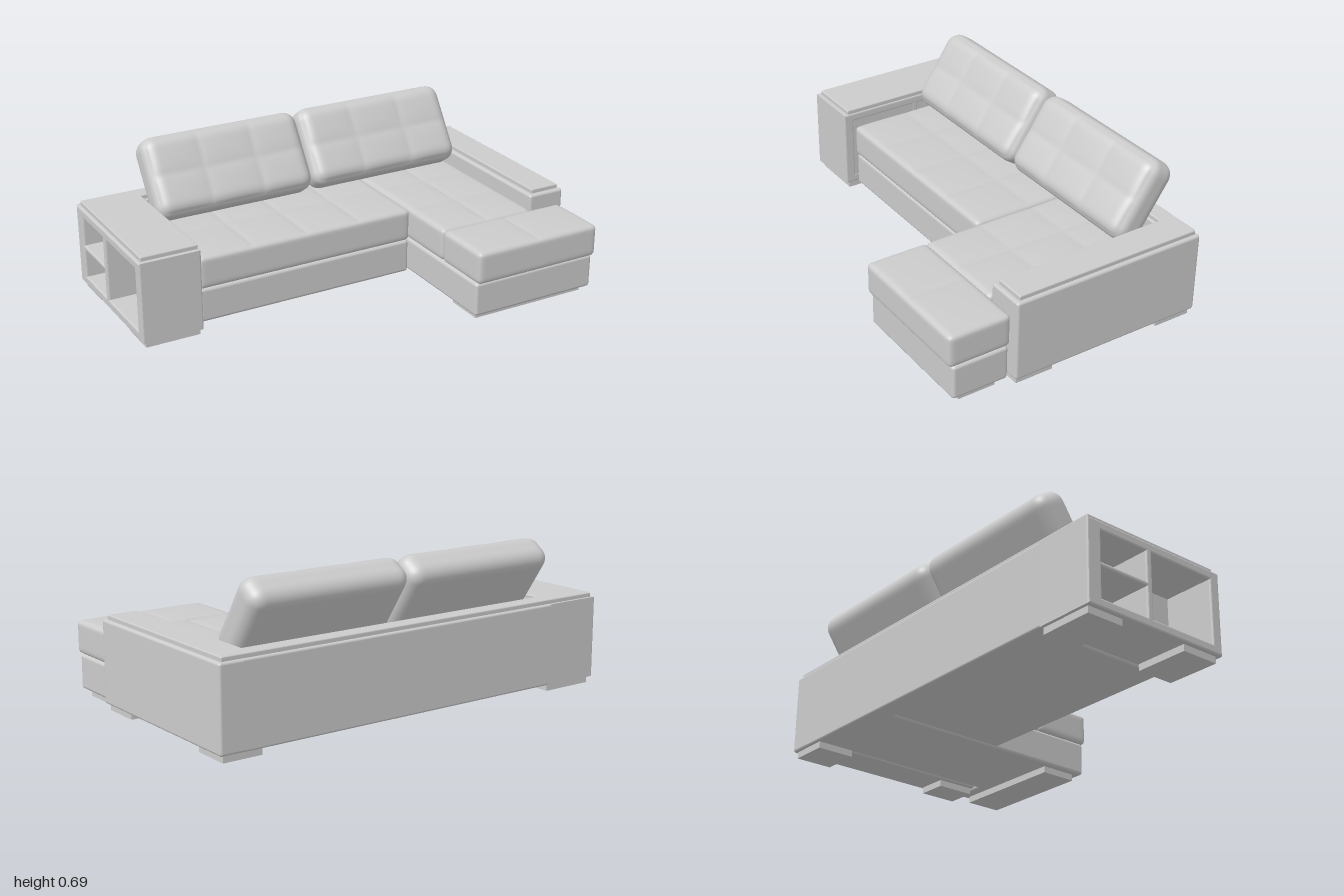
import * as THREE from 'three';
import { mergeVertices } from 'three/addons/utils/BufferGeometryUtils.js';
import { RoundedBoxGeometry } from 'three/addons/geometries/RoundedBoxGeometry.js';

const mat = new THREE.MeshStandardMaterial({ color: 0xcccccc });

function add(parent, name, geometry) {
  const mesh = new THREE.Mesh(geometry, mat);
  mesh.name = name;
  parent.add(mesh);
  return mesh;
}

// Rounded block given by its limits on each axis
function block(parent, name, [x0, x1], [y0, y1], [z0, z1], r = 0.01) {
  const mesh = add(parent, name, new RoundedBoxGeometry(x1 - x0, y1 - y0, z1 - z0, 3, r));
  mesh.position.set((x0 + x1) / 2, (y0 + y1) / 2, (z0 + z1) / 2);
  return mesh;
}

// Soft rounded cushion whose upper face is quilted into cols x rows cells
function cushionGeometry(w, h, d, r, cols, rows, depth) {
  const seg = (s) => Math.max(8, Math.round(s / 0.012));
  const box = new THREE.BoxGeometry(w, h, d, seg(w), seg(h), seg(d));
  box.deleteAttribute('uv');
  box.deleteAttribute('normal');
  const geo = mergeVertices(box);
  const pos = geo.attributes.position;
  const inner = new THREE.Vector3(w / 2 - r, h / 2 - r, d / 2 - r);
  const p = new THREE.Vector3(), core = new THREE.Vector3(), n = new THREE.Vector3();
  for (let i = 0; i < pos.count; i++) {
    p.fromBufferAttribute(pos, i);
    const u = (p.x / w + 0.5) * cols, v = (p.z / d + 0.5) * rows;
    core.copy(p).clamp(inner.clone().negate(), inner);
    n.copy(p).sub(core).normalize();
    p.copy(core).addScaledVector(n, r);
    const puff = Math.abs(Math.sin(Math.PI * u) * Math.sin(Math.PI * v)) ** 0.35;
    p.y -= depth * (1 - puff) * Math.max(0, n.y);
    pos.setXYZ(i, p.x, p.y, p.z);
  }
  geo.computeVertexNormals();
  return geo;
}

function cushion(parent, name, [x0, x1], [y0, y1], [z0, z1], cols, rows) {
  const geo = cushionGeometry(x1 - x0, y1 - y0, z1 - z0, 0.022, cols, rows, 0.007);
  const mesh = add(parent, name, geo);
  mesh.position.set((x0 + x1) / 2, (y0 + y1) / 2, (z0 + z1) / 2);
}

function rectangle(z0, z1, y0, y1, Type) {
  const s = new Type();
  s.moveTo(-z1, y0);
  s.lineTo(-z0, y0);
  s.lineTo(-z0, y1);
  s.lineTo(-z1, y1);
  s.closePath();
  return s;
}

// Wide arm with three open shelf compartments in its outer face
function shelfArm() {
  const arm = new THREE.Group();
  arm.name = 'shelfArm';
  const outline = rectangle(-0.61, 0.11, 0.03, 0.4, THREE.Shape);
  outline.holes.push(
    rectangle(-0.54, -0.3, 0.07, 0.205, THREE.Path),
    rectangle(-0.54, -0.3, 0.225, 0.36, THREE.Path),
    rectangle(-0.27, 0.06, 0.07, 0.36, THREE.Path),
  );
  const b = 0.008;
  const frame = add(arm, 'shelfFrame', new THREE.ExtrudeGeometry(outline, {
    depth: 0.28 - 2 * b, bevelThickness: b, bevelSize: b, bevelOffset: -b, bevelSegments: 3,
  }));
  frame.rotation.y = Math.PI / 2;
  frame.position.x = -1 + b;
  block(arm, 'shelfBack', [-0.76, -0.722], [0.05, 0.38], [-0.58, 0.08], 0.004);
  block(arm, 'shelfArmTop', [-0.985, -0.725], [0.39, 0.42], [-0.597, 0.09], 0.006);
  return arm;
}

export function createModel() {
  const sofa = new THREE.Group();
  sofa.name = 'cornerSofa';

  // Arms and back
  sofa.add(shelfArm());
  block(sofa, 'plainArm', [0.82, 1], [0.03, 0.4], [-0.61, 0.315], 0.012);
  block(sofa, 'plainArmTop', [0.84, 0.983], [0.39, 0.42], [-0.597, 0.295], 0.006);
  block(sofa, 'back', [-0.745, 0.9], [0.03, 0.4], [-0.61, -0.51], 0.01);
  block(sofa, 'backTop', [-0.745, 0.86], [0.39, 0.42], [-0.597, -0.52], 0.006);

  // Lower bases
  block(sofa, 'seatBase', [-0.708, 0.338], [0.03, 0.187], [-0.52, 0.055], 0.015);
  block(sofa, 'chaiseBase', [0.345, 0.815], [0.03, 0.187], [-0.52, 0.36], 0.015);
  block(sofa, 'chaiseFrontBase', [0.345, 0.968], [0.03, 0.187], [0.33, 0.592], 0.015);

  // Quilted seat cushions
  cushion(sofa, 'seatCushion', [-0.712, 0.34], [0.188, 0.342], [-0.5, 0.062], 4, 2);
  cushion(sofa, 'chaiseCushion', [0.343, 0.82], [0.188, 0.342], [-0.48, 0.326], 2, 3);
  cushion(sofa, 'chaiseFrontCushion', [0.343, 0.972], [0.188, 0.342], [0.322, 0.612], 2, 1);

  // Back pillows leaning on the back
  for (const x of [-0.338, 0.445]) {
    const pillow = add(sofa, 'backPillow', cushionGeometry(0.776, 0.165, 0.376, 0.06, 3, 2, 0.01));
    pillow.rotation.x = THREE.MathUtils.degToRad(56);
    pillow.position.set(x, 0.51, -0.448);
  }

  // Feet: x limits, z limits
  const feet = [
    [[-0.98, -0.73], [-0.595, -0.42]],
    [[-0.98, -0.73], [-0.09, 0.09]],
    [[0.8, 0.98], [-0.595, -0.42]],
    [[0.84, 0.98], [0.12, 0.3]],
    [[0.375, 0.94], [0.375, 0.55]],
  ];
  for (const [[x0, x1], [z0, z1]] of feet) {
    const foot = add(sofa, 'foot', new THREE.BoxGeometry(x1 - x0, 0.035, z1 - z0));
    foot.position.set((x0 + x1) / 2, 0.0175, (z0 + z1) / 2);
  }
  return sofa;
}
